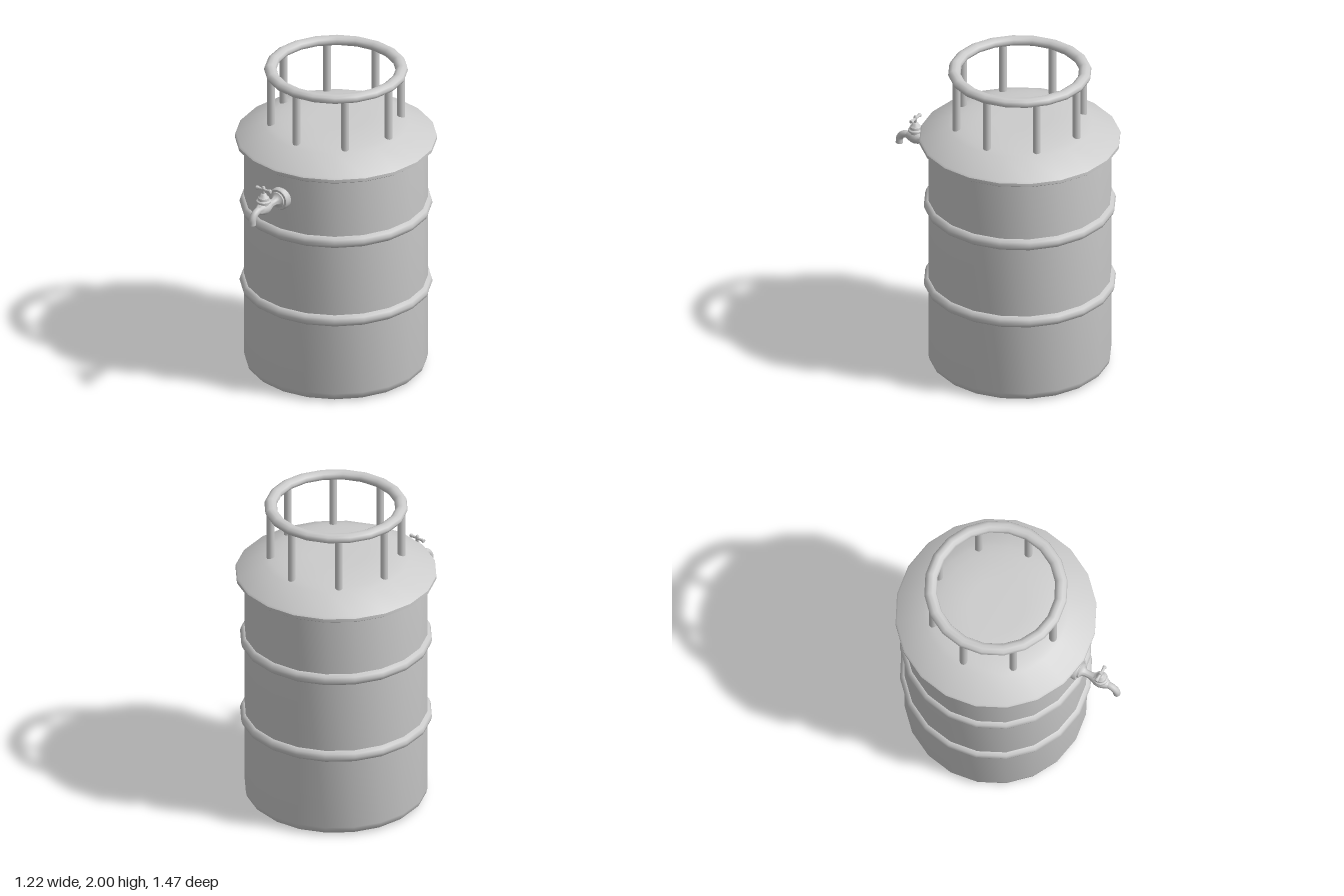
import * as THREE from 'three';
import { toCreasedNormals } from 'three/addons/utils/BufferGeometryUtils.js';

const SIDES = 20;
const DRUM_Z = -0.127; // drum axis, set back to make room for the tap
const TAP_Y = 1.325;
const material = new THREE.MeshStandardMaterial({ color: 0xcccccc });
const openMaterial = new THREE.MeshStandardMaterial({ color: 0xcccccc, side: THREE.DoubleSide });

function add(parent, name, geometry, x = 0, y = 0, z = 0, mat = material) {
  const mesh = new THREE.Mesh(geometry, mat);
  mesh.name = name;
  mesh.position.set(x, y, z);
  parent.add(mesh);
  return mesh;
}

// Turned part from [radius, height] pairs, bottom to top
function lathe(profile, sides = SIDES) {
  const points = profile.map(([r, h]) => new THREE.Vector2(r, h));
  return toCreasedNormals(new THREE.LatheGeometry(points, sides), 0.7);
}

// Horizontal ring with an elliptical section
function hoop(radius, width, height) {
  return new THREE.TorusGeometry(radius, width, 10, SIDES)
    .scale(1, 1, height / width)
    .rotateX(Math.PI / 2);
}

function createDrum() {
  const drum = new THREE.Group();
  drum.name = 'drum';
  drum.position.z = DRUM_Z;

  // Body with a rounded bottom edge
  add(drum, 'body', lathe([
    [0, 0], [0.5, 0], [0.528, 0.007], [0.548, 0.026], [0.555, 0.055], [0.555, 1.51],
  ]));
  for (const y of [0.55, 1.08]) add(drum, 'band', hoop(0.545, 0.038, 0.039), 0, y);

  // Domed lid with an overhanging rim
  add(drum, 'lid', lathe([
    [0, 1.5], [0.6, 1.5], [0.61, 1.507], [0.61, 1.527], [0.6, 1.537],
    [0.44, 1.617], [0.4, 1.63], [0.34, 1.642], [0.25, 1.652], [0.18, 1.654], [0, 1.654],
  ]));

  // Guard rail on eight posts
  const posts = 8;
  for (let i = 0; i < posts; i++) {
    const a = (i / posts) * Math.PI * 2;
    add(drum, 'railPost', new THREE.CylinderGeometry(0.024, 0.024, 0.35, 12),
      Math.sin(a) * 0.395, 1.795, Math.cos(a) * 0.395);
  }
  add(drum, 'guardRail', hoop(0.397, 0.038, 0.03), 0, 1.97);
  return drum;
}

function createTap() {
  const tap = new THREE.Group();
  tap.name = 'tap';
  tap.position.y = TAP_Y;

  // Wall flange, neck and swollen valve body, turned along z
  add(tap, 'flangeAndBody', lathe([
    [0, 0.41], [0.07, 0.41], [0.07, 0.45], [0.064, 0.459], [0.05, 0.459], [0.05, 0.469],
    [0.038, 0.473], [0.028, 0.485], [0.023, 0.5], [0.023, 0.53], [0.03, 0.55],
    [0.039, 0.575], [0.042, 0.6], [0.038, 0.622], [0.029, 0.645], [0.022, 0.66], [0, 0.66],
  ], 20).rotateX(Math.PI / 2));

  // Spout bending down
  const path = new THREE.CatmullRomCurve3([
    [0.62, 0], [0.66, 0.003], [0.69, -0.008], [0.709, -0.033], [0.713, -0.07],
  ].map(([z, y]) => new THREE.Vector3(0, y, z)));
  add(tap, 'spout', new THREE.TubeGeometry(path, 16, 0.022, 14), 0, 0, 0, openMaterial);
  add(tap, 'spoutMouth', new THREE.CircleGeometry(0.022, 14).rotateX(Math.PI / 2), 0, -0.066, 0.713);

  // Bonnet and stem above the valve
  add(tap, 'bonnet', lathe([
    [0, 0.01], [0.033, 0.01], [0.033, 0.036], [0.045, 0.04], [0.045, 0.051], [0.036, 0.057],
    [0.034, 0.072], [0.024, 0.08], [0.018, 0.094], [0.01, 0.1], [0.01, 0.128],
    [0.012, 0.135], [0.007, 0.145], [0, 0.147],
  ], 16), 0, 0, 0.6);

  // Cross bar handle, thicker at both ends
  add(tap, 'handle', lathe([
    [0, -0.058], [0.01, -0.056], [0.013, -0.05], [0.009, -0.036], [0.008, -0.015],
    [0.011, 0], [0.008, 0.015], [0.009, 0.036], [0.013, 0.05], [0.01, 0.056], [0, 0.058],
  ], 12).rotateZ(Math.PI / 2), 0, 0.125, 0.6);
  return tap;
}

export function createModel() {
  const model = new THREE.Group();
  model.name = 'drumWithTap';
  model.add(createDrum(), createTap());
  return model;
}
